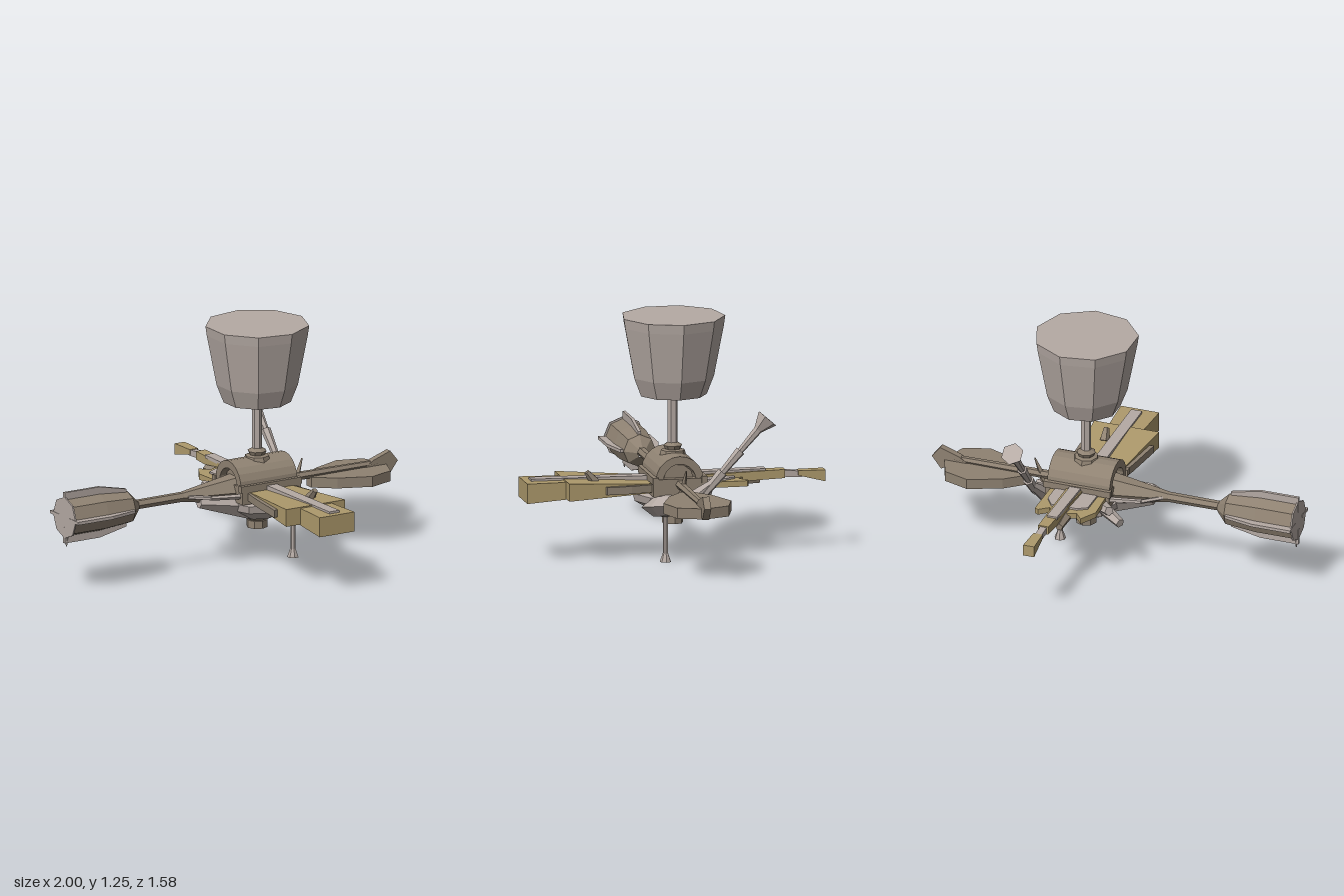
import * as THREE from 'three';

const material = (name, color, side = THREE.FrontSide) => {
  const m = new THREE.MeshStandardMaterial({ color, side, flatShading: true });
  m.name = name;
  return m;
};

export function createModel() {
  const root = new THREE.Group();
  const grey = material('warm grey', 0xb5aaa4, THREE.DoubleSide);
  const brown = material('dull brown', 0x8f8272);
  const tan = material('tan', 0xae9a6c);
  const CX = 0.163; // x of the central axis

  const add = (name, geo, mat, x = 0, y = 0, z = 0) => {
    const mesh = new THREE.Mesh(geo.index ? geo.toNonIndexed() : geo, mat);
    mesh.geometry.computeVertexNormals();
    mesh.name = name;
    mesh.position.set(x, y, z);
    root.add(mesh);
    return mesh;
  };
  const box = (name, mat, x0, x1, y0, y1, z0, z1) =>
    add(name, new THREE.BoxGeometry(x1 - x0, y1 - y0, z1 - z0), mat, (x0 + x1) / 2, (y0 + y1) / 2, (z0 + z1) / 2);
  // turned part; profile runs from bottom to top as [radius, height]
  const turned = (profile, sides) =>
    new THREE.LatheGeometry(profile.map(([r, y]) => new THREE.Vector2(r, y)), sides, Math.PI / 2);
  // flat slab from an outline of [x, z] pairs
  const slab = (name, mat, outline, y0, y1) => {
    const shape = new THREE.Shape(outline.map(([x, z]) => new THREE.Vector2(x, -z)));
    const geo = new THREE.ExtrudeGeometry(shape, { depth: y1 - y0, bevelEnabled: false });
    return add(name, geo.rotateX(-Math.PI / 2), mat, 0, y0, 0);
  };
  // tapered beam along z; each end is [x0, x1, y0, y1]
  const beam = (name, mat, zBack, back, zFront, front) => {
    const geo = new THREE.BoxGeometry(1, 1, 1);
    const p = geo.attributes.position;
    for (let i = 0; i < p.count; i++) {
      const end = p.getZ(i) > 0 ? front : back;
      p.setXYZ(i, end[p.getX(i) > 0 ? 1 : 0], end[p.getY(i) > 0 ? 3 : 2], p.getZ(i) > 0 ? zFront : zBack);
    }
    return add(name, geo, mat);
  };
  // rod between two points
  const rod = (name, mat, a, b, ra, rb, sides = 6) => {
    const from = new THREE.Vector3(...a), to = new THREE.Vector3(...b);
    const dir = to.clone().sub(from);
    const mesh = add(name, new THREE.CylinderGeometry(rb, ra, dir.length(), sides), mat);
    mesh.position.copy(from).addScaledVector(dir, 0.5);
    mesh.quaternion.setFromUnitVectors(new THREE.Vector3(0, 1, 0), dir.normalize());
    return mesh;
  };

  // Upper tank and its stem
  add('tank', turned([[0, 0.84], [0.175, 0.84], [0.212, 0.935], [0.263, 1.2], [0.27, 1.25], [0, 1.25]], 9), grey, CX);
  add('stem', new THREE.CylinderGeometry(0.026, 0.026, 0.3, 6), grey, CX, 0.7, 0);
  add('stemCollar', turned([[0.07, 0.52], [0.062, 0.55], [0.04, 0.555], [0.05, 0.575], [0.026, 0.59]], 8), brown, CX);

  // Arched hub lying along x
  const arch = new THREE.Shape();
  arch.absarc(0, 0, 0.125, 0, Math.PI, false);
  arch.absarc(0, 0, 0.085, Math.PI, 0, true);
  const archGeo = new THREE.ExtrudeGeometry(arch, { depth: 0.34, bevelEnabled: false, curveSegments: 5 });
  add('hubArch', archGeo.rotateY(Math.PI / 2), brown, -0.01, 0.42, 0);
  add('hubCore', new THREE.CylinderGeometry(0.08, 0.08, 0.28, 10).rotateZ(Math.PI / 2), brown, CX, 0.42, 0);
  box('hubBase', brown, -0.01, 0.34, 0.34, 0.43, -0.13, 0.14);
  for (const z of [-0.128, 0.128]) box('hubRail', brown, -0.02, 0.345, 0.405, 0.44, z - 0.015, z + 0.015);

  // Lower hull and nozzle
  const hull = add('lowerHull', turned([[0, 0.235], [0.1, 0.235], [0.19, 0.29], [0.2, 0.33], [0.1, 0.36], [0, 0.36]], 8), grey, CX);
  hull.scale.z = 1.05;
  add('nozzle', turned([[0, 0.17], [0.055, 0.17], [0.055, 0.21], [0.045, 0.21], [0.065, 0.225], [0.065, 0.26]], 8), brown, CX);
  rod('leftHullFlank', grey, [0.1, 0.31, 0.02], [-0.2, 0.35, 0.02], 0.09, 0.025);
  for (const s of [1, -1]) {
    slab('sidePanel', brown, [[-0.03, 0.48 * s], [0, 0.25 * s], [0.03, 0.1 * s], [0.3, 0.1 * s], [0.33, 0.25 * s], [0.335, 0.38 * s]]
      .slice(0, 6), 0.36, 0.4).visible = s > 0;
    rod('hullFinger', grey, [0.06, 0.34, -0.1], [-0.07 + 0.03 * s, 0.34 + 0.03 * s, -0.21], 0.04, 0.025, 5);
  }

  // Front planks with a strip on top
  beam('frontPlank', tan, 0.1, [0.04, 0.29, 0.355, 0.4], 0.58, [-0.02, 0.335, 0.335, 0.427]);
  beam('frontTip', tan, 0.5, [0.07, 0.25, 0.335, 0.42], 0.785, [0.055, 0.265, 0.318, 0.422]);
  beam('frontStrip', grey, 0.1, [0.135, 0.195, 0.4, 0.425], 0.75, [0.135, 0.195, 0.415, 0.433]);
  rod('plankKnob', brown, [0.22, 0.41, 0.42], [0.225, 0.465, 0.465], 0.028, 0.015, 5);

  // Rear boom in stepped sections
  beam('rearRoot', tan, -0.58, [0.155, 0.21, 0.385, 0.43], -0.1, [0.13, 0.22, 0.37, 0.42]);
  beam('rearNeck', grey, -0.67, [0.165, 0.2, 0.385, 0.415], -0.57, [0.165, 0.2, 0.39, 0.425]);
  beam('rearTip', tan, -0.79, [0.155, 0.215, 0.36, 0.42], -0.65, [0.16, 0.21, 0.395, 0.42]);
  beam('rearStrip', grey, -0.48, [0.145, 0.2, 0.42, 0.437], -0.1, [0.14, 0.2, 0.41, 0.435]);
  slab('rearWings', tan, [[0.01, -0.1], [0.0, -0.3], [0.05, -0.39], [0.09, -0.34], [0.13, -0.36], [0.21, -0.36],
    [0.24, -0.33], [0.29, -0.37], [0.31, -0.36], [0.31, -0.1]], 0.37, 0.4);
  slab('rearBracket', grey, [[0.05, -0.1], [0.05, -0.28], [0.1, -0.31], [0.24, -0.31], [0.28, -0.25], [0.28, -0.1]], 0.4, 0.41);
  rod('rearClaw', brown, [0.15, 0.38, -0.2], [0.14, 0.37, -0.46], 0.04, 0.02, 5);

  // Right boom with finned pod
  rod('podBoom', brown, [0, 0.395, 0], [-0.62, 0.395, 0], 0.028, 0.025);
  rod('boomRoot', brown, [0.04, 0.39, 0], [-0.3, 0.395, 0], 0.085, 0.025);
  for (const s of [1, -1]) {
    rod('boomStrut', grey, [0, 0.38, 0.11 * s], [-0.17, 0.39, 0.09 * s], 0.014, 0.012, 5);
    rod('boomStrut', grey, [-0.17, 0.39, 0.09 * s], [-0.28, 0.395, 0.01 * s], 0.012, 0.01, 5);
  }
  const pod = add('pod', turned([[0, 0], [0.1, 0], [0.1, 0.2], [0.085, 0.37], [0.025, 0.43]], 8), brown, -0.99, 0.39, 0);
  pod.rotation.z = -Math.PI / 2;
  pod.rotation.y = 0;
  const fin = new THREE.Shape([[0, 0.05], [0.37, 0.05], [0.37, 0.1], [0.21, 0.135], [0, 0.135]]
    .map(([x, y]) => new THREE.Vector2(x, y)));
  for (let i = 0; i < 4; i++) {
    const geo = new THREE.ExtrudeGeometry(fin, { depth: 0.016, bevelEnabled: false }).translate(0, 0, -0.008);
    add('podFin', geo.rotateX(i * Math.PI / 2), grey, -1, 0.39, 0);
  }
  add('podEndCap', new THREE.CylinderGeometry(0.11, 0.11, 0.008, 8).rotateZ(Math.PI / 2), grey, -0.994, 0.39, 0);
  rod('podSpike', grey, [-0.985, 0.3, 0], [-0.985, 0.235, 0], 0.015, 0.003, 4);

  // Left boom with paddle and pointed tail
  rod('paddleBoom', brown, [0.3, 0.4, 0], [0.9, 0.4, 0], 0.024, 0.018);
  slab('paddle', brown, [[0.475, 0.025], [0.58, 0.11], [0.75, 0.178], [0.885, 0.135], [0.93, 0.02], [0.93, -0.02],
    [0.885, -0.135], [0.75, -0.178], [0.58, -0.11], [0.475, -0.025]], 0.335, 0.39);
  const tail = new THREE.Shape([[0.8, 0.385], [0.85, 0.42], [0.955, 0.457], [1, 0.4], [0.95, 0.335], [0.9, 0.36]]
    .map(([x, y]) => new THREE.Vector2(x, y)));
  add('paddleTail', new THREE.ExtrudeGeometry(tail, { depth: 0.036, bevelEnabled: false }), brown, 0, 0, -0.018);

  // Side lens with the single leg
  const lens = add('sideLens', turned([[0, -0.055], [0.07, -0.05], [0.13, 0], [0.06, 0.05], [0, 0.06]], 7), grey, 0.335, 0.29, 0.07);
  lens.rotation.z = 0.2;
  add('leg', turned([[0, 0], [0.03, 0], [0.026, 0.012], [0.014, 0.045], [0.013, 0.26]], 7), grey, 0.333, 0, 0.075);

  // Slanted jointed antenna with a funnel head
  const mastPoint = (t) => [0.402, 0.31 + 0.43 * t, -0.07 - 0.375 * t];
  rod('mastRoot', grey, [0.36, 0.28, 0], mastPoint(0.25), 0.055, 0.022);
  for (let i = 0; i < 3; i++) rod('mastJoint', grey, mastPoint(0.1 + 0.25 * i), mastPoint(0.37 + 0.25 * i), 0.02 - 0.002 * i, 0.029 - 0.003 * i);
  rod('mastHead', grey, mastPoint(0.84), mastPoint(1), 0.016, 0.06);
  rod('mastSpur', brown, [0.39, 0.36, 0], [0.44, 0.49, -0.01], 0.022, 0.004, 4);

  return root;
}
